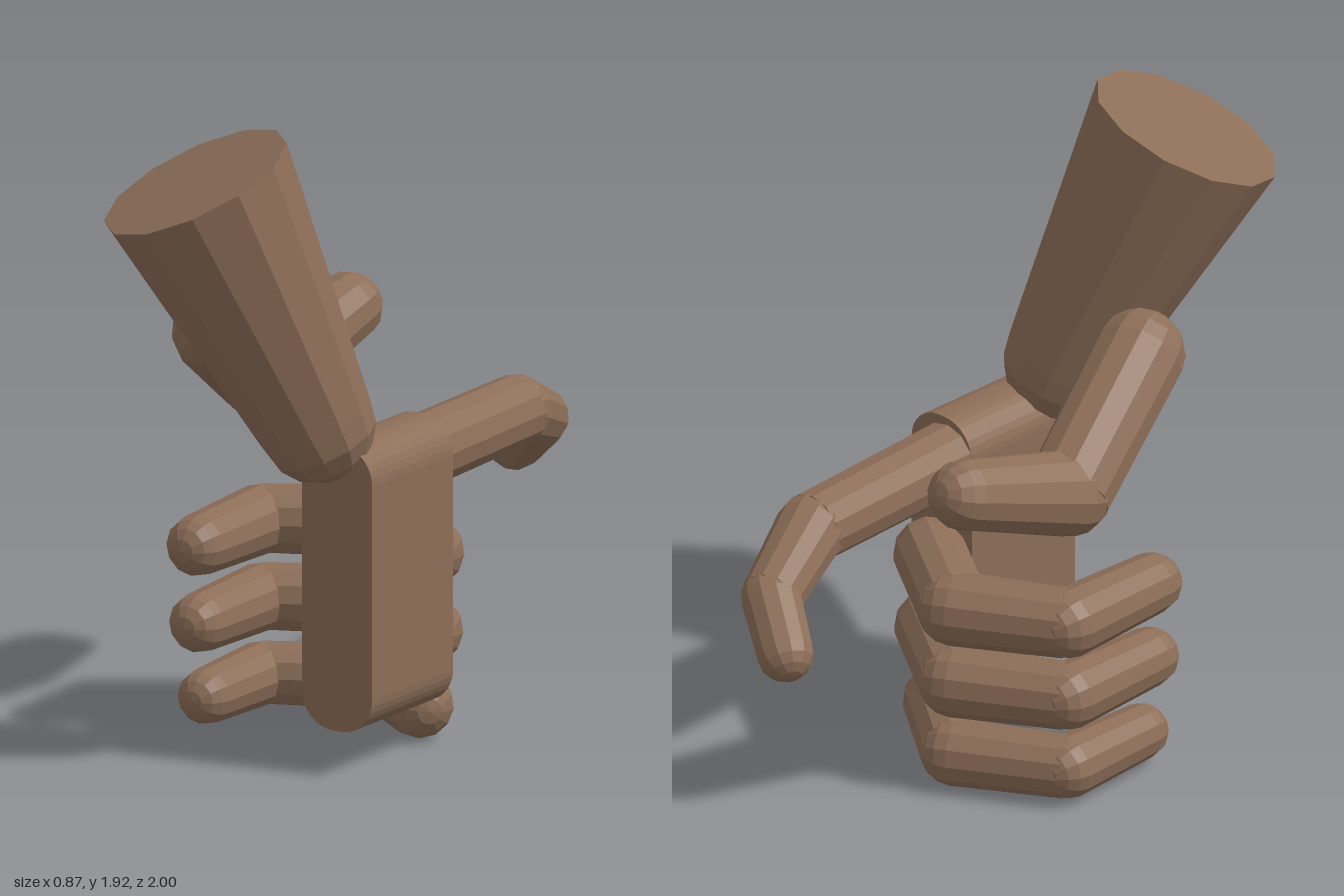
import * as THREE from 'three';

const SIDES = 12;
const UP = new THREE.Vector3(0, 1, 0);

export function createModel() {
  const skin = new THREE.MeshStandardMaterial({ color: 0x8d6e58, flatShading: true });
  skin.name = 'brown skin';

  const hand = new THREE.Group();
  hand.name = 'hand';

  function add(parent, geometry, name) {
    const mesh = new THREE.Mesh(geometry, skin);
    mesh.name = name;
    parent.add(mesh);
    return mesh;
  }

  // Jointed limb: tapered segments with a ball at each listed [x, y, z, radius] point
  function limb(name, joints, openEnd = false) {
    const group = new THREE.Group();
    group.name = name;
    const points = joints.map(([x, y, z]) => new THREE.Vector3(x, y, z));
    const turn = new THREE.Quaternion();
    points.forEach((p, i) => {
      const r = joints[i][3];
      const last = i === points.length - 1;
      if (!last) {
        const axis = points[i + 1].clone().sub(p);
        const length = axis.length();
        turn.setFromUnitVectors(UP, axis.normalize());
        const segment = add(group, new THREE.CylinderGeometry(joints[i + 1][3], r, length, SIDES), 'segment');
        segment.position.copy(p).addScaledVector(axis, length / 2);
        segment.quaternion.copy(turn);
      }
      if (last && openEnd) return;
      const ball = add(group, new THREE.SphereGeometry(r, SIDES, 8), last ? 'tip' : 'joint');
      ball.position.copy(p);
      ball.quaternion.copy(turn);
    });
    hand.add(group);
  }

  // Palm: slab with rounded top and bottom
  const x0 = 0.19, x1 = 0.435, y0 = 0.135, y1 = 1.0, r = 0.11;
  const outline = new THREE.Shape();
  outline.absarc(x1 - r, y1 - r, r, 0, Math.PI / 2);
  outline.absarc(x0 + r, y1 - r, r, Math.PI / 2, Math.PI);
  outline.absarc(x0 + r, y0 + r, r, Math.PI, Math.PI * 1.5);
  outline.absarc(x1 - r, y0 + r, r, Math.PI * 1.5, Math.PI * 2);
  const slab = new THREE.ExtrudeGeometry(outline, { depth: 0.43, bevelEnabled: false, curveSegments: 4 });
  add(hand, slab.translate(0, 0, 0.03), 'palm');

  // Forearm, flaring to a flat cut end
  limb('forearm', [[0.24, 1.05, 0.46, 0.175], [-0.01, 1.8, 0.72, 0.295]], true);

  // Pointing finger
  limb('indexFinger', [
    [0.3, 0.87, 0.15, 0.11], [0.26, 0.865, -0.57, 0.106],
    [0.16, 0.77, -0.84, 0.09], [0.03, 0.66, -0.915, 0.085],
  ]);

  // Curled fingers
  const curled = [
    ['middleFinger', 0.57, 0.31, 0.29, 0.11],
    ['ringFinger', 0.335, 0.31, 0.28, 0.107],
    ['littleFinger', 0.105, 0.285, 0.245, 0.1],
  ];
  for (const [name, y, baseX, tipZ, size] of curled) {
    limb(name, [
      [baseX, y, -0.02, size], [0.01, y, -0.23, size],
      [-0.295, y, -0.07, size * 0.94], [-0.285, y, tipZ, size * 0.83],
    ]);
  }

  // Thumb
  limb('thumb', [
    [-0.17, 1.25, 0.36, 0.135], [-0.305, 1.0, -0.08, 0.13], [-0.265, 1.12, -0.475, 0.105],
  ]);

  return hand;
}
